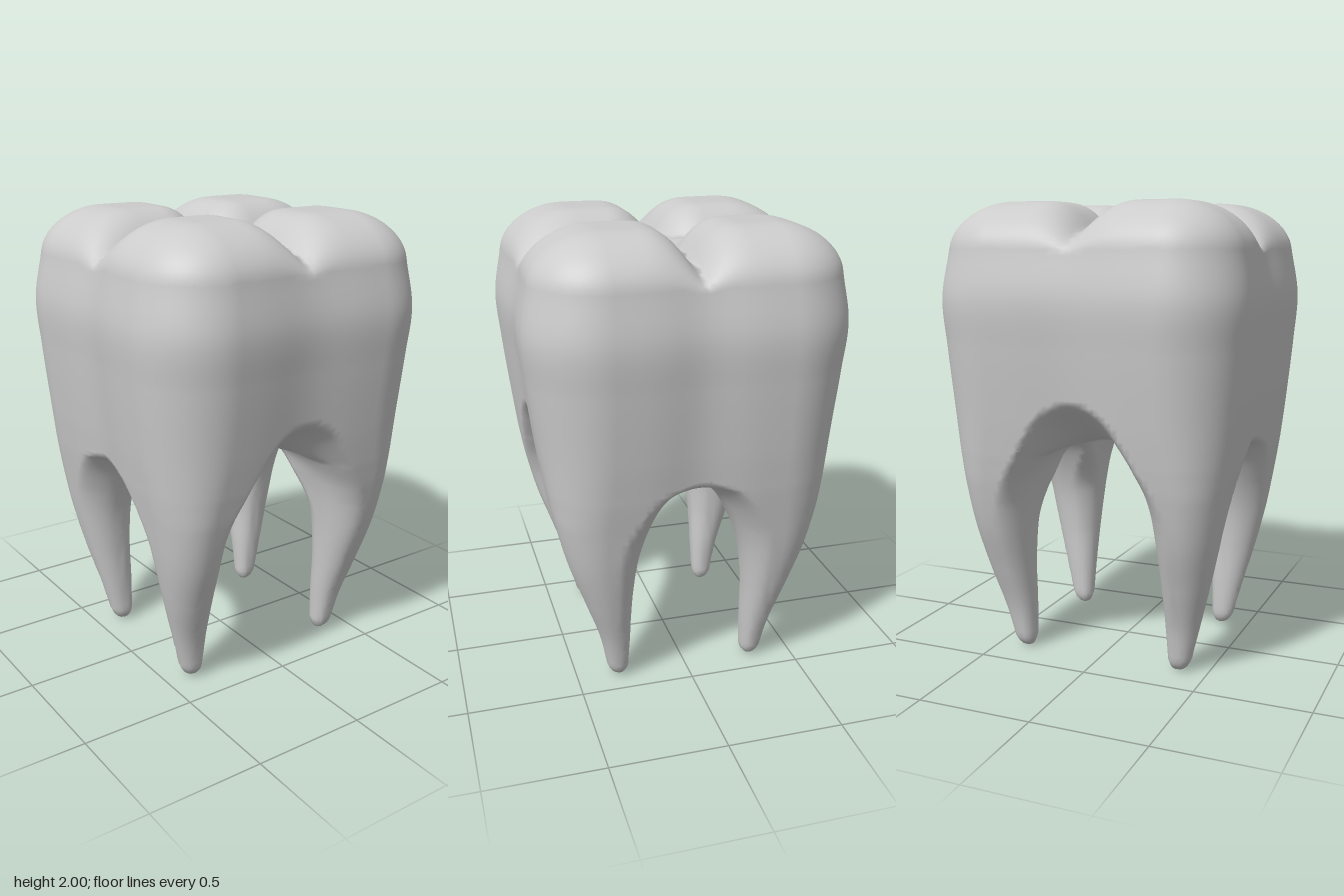
import * as THREE from 'three';

// One quarter of the tooth by height:
// [y, arch half-width in x at the centre, outer x, arch half-width in z, outer z,
//  rounding x, rounding z, arch half-width in x at the front and back]
// (a negative arch half-width lies in the solid above the arch)
const PROFILE = [
  [0, 0.326, 0.414, 0.268, 0.352, 0.044, 0.042, 0.326],
  [0.2, 0.318, 0.463, 0.262, 0.392, 0.072, 0.065, 0.318],
  [0.4, 0.312, 0.515, 0.256, 0.46, 0.1, 0.1, 0.312],
  [0.6, 0.298, 0.558, 0.232, 0.53, 0.13, 0.148, 0.298],
  [0.8, 0.268, 0.592, 0.16, 0.58, 0.165, 0.195, 0.265],
  [0.92, 0.23, 0.612, 0.03, 0.603, 0.205, 0.224, 0.212],
  [0.955, 0, 0.617, -0.12, 0.609, 0.216, 0.232, 0.195],
  [1.12, -0.32, 0.638, -0.33, 0.633, 0.262, 0.265, -0.07],
  [1.4, -0.6, 0.665, -0.7, 0.667, 0.298, 0.3, -0.32],
  [1.6, -0.8, 0.676, -0.85, 0.682, 0.3, 0.31, -0.45],
  [1.8, -1, 0.645, -1, 0.652, 0.28, 0.29, -0.6],
  [2, -1.2, 0.612, -1.2, 0.622, 0.25, 0.26, -0.8],
];
// Arch widths are squared, sign kept, so that the arch roofs come out round
const ARCH_COLUMNS = [1, 3, 7];
const ROWS = PROFILE.map((r) => r.map((v, c) => (ARCH_COLUMNS.includes(c) ? v * Math.abs(v) : v)));

const { lerp, smoothstep, clamp } = THREE.MathUtils;

// Smooth curve through one column of the profile
function column(c, height) {
  const y = clamp(height, 0, 2), last = ROWS.length - 1;
  let i = 0;
  while (i < last - 1 && ROWS[i + 1][0] < y) i++;
  const slope = (n) => {
    const a = ROWS[Math.max(n - 1, 0)], b = ROWS[Math.min(n + 1, last)];
    return (b[c] - a[c]) / (b[0] - a[0]);
  };
  const p = ROWS[i], q = ROWS[i + 1], h = q[0] - p[0], t = (y - p[0]) / h;
  const m = slope(i) * h, n = slope(i + 1) * h, d = q[c] - p[c];
  return p[c] + t * (m + t * (3 * d - 2 * m - n + t * (m + n - 2 * d)));
}

// Depth of the crossing grooves; the four cusps have rounded inner corners
function grooveDepth(x, z) {
  const u = Math.abs(x), v = Math.abs(z), reach = 0.21;
  const s = Math.max(reach - Math.hypot(Math.max(reach - u, 0), Math.max(reach - v, 0)), 0);
  const rise = (Math.hypot(s, 0.014) - 0.014) / reach;
  const depth = 0.118 + 0.018 * u / (u + v + 0.02);
  return depth * Math.max(1 - rise, 0) ** 2.7;
}

// Tooth shape as a rule: negative inside, positive outside
function toothField(x, y, z) {
  const rx = column(5, y), rz = column(6, y);

  // outer walls with a shallow dent down the middle of each face
  const dent = 0.024 * smoothstep(y, 0.5, 1);
  const wallX = Math.abs(x) - column(2, y) + dent * Math.exp(-((z / 0.15) ** 2));
  const wallZ = Math.abs(z) - column(4, y) + dent * Math.exp(-((x / 0.2) ** 2));

  // two crossing arches that part the four roots; the one along z rises to its ends
  const widthX = lerp(column(1, y), column(7, y), smoothstep(Math.abs(z), 0, 0.6));
  const archX = (widthX - x * x) / 0.56;
  const archZ = (column(3, y) - z * z) / 0.5;
  const rArch = lerp(Math.min(0.15, rx, rz), 0.055, smoothstep(y, 0.6, 1.05));
  const rCross = lerp(rArch, 0.03, smoothstep(y, 0.6, 0.93));
  const arches = Math.min(Math.max(archX, archZ) + rCross, 0) - rCross
    + Math.hypot(Math.max(archX + rCross, 0), Math.max(archZ + rCross, 0));

  // chewing surface, its rim rounded less where the grooves run out
  const groove = grooveDepth(x, z);
  const top = (y - 2 + groove) / (0.19 - 0.8 * groove);

  // all limits meet in rounded edges
  const limits = [wallX / rx, wallZ / rz, arches / rArch, top, -y / 0.06];
  return Math.hypot(...limits.map((d) => Math.max(d + 1, 0))) - 1;
}

function gradient(p) {
  const e = 0.003;
  return new THREE.Vector3(
    toothField(p.x + e, p.y, p.z) - toothField(p.x - e, p.y, p.z),
    toothField(p.x, p.y + e, p.z) - toothField(p.x, p.y - e, p.z),
    toothField(p.x, p.y, p.z + e) - toothField(p.x, p.y, p.z - e),
  ).divideScalar(2 * e);
}

// Skins the rule: one vertex in each grid cell the surface crosses, joined by quads
function skin(min, size, step) {
  const [nx, ny, nz] = size;
  const stride = [1, nx, nx * ny];
  const at = (i, j, k) => i + j * stride[1] + k * stride[2];
  const point = (i, j, k) => new THREE.Vector3(i, j, k).multiplyScalar(step).add(min);
  const values = new Float32Array(nx * ny * nz).fill(1);
  const forEachCell = (visit) => {
    for (let k = 0; k < nz - 1; k++)
      for (let j = 0; j < ny - 1; j++)
        for (let i = 0; i < nx - 1; i++) visit(i, j, k);
  };
  forEachCell((i, j, k) => {
    const p = point(i, j, k);
    values[at(i, j, k)] = toothField(p.x, p.y, p.z);
  });

  const positions = [], normals = [], index = [];
  const vertexOf = new Map();
  forEachCell((i, j, k) => {
    const corner = (c) => [i + (c & 1), j + ((c >> 1) & 1), k + (c >> 2)];
    const sum = new THREE.Vector3();
    let hits = 0;
    for (let c = 0; c < 8; c++) {
      for (const bit of [1, 2, 4]) {
        if (c & bit) continue;
        const a = values[at(...corner(c))], b = values[at(...corner(c | bit))];
        if (a < 0 === b < 0) continue;
        sum.add(point(...corner(c)).lerp(point(...corner(c | bit)), a / (a - b)));
        hits++;
      }
    }
    if (!hits) return;
    // settle the vertex onto the exact surface
    const p = sum.divideScalar(hits);
    for (let n = 0; n < 4; n++) {
      const g = gradient(p);
      const move = g.multiplyScalar(-toothField(p.x, p.y, p.z) / Math.max(g.lengthSq(), 1e-6));
      p.add(move.clampLength(0, step / 3));
    }
    vertexOf.set(at(i, j, k), positions.length / 3);
    positions.push(...p);
    normals.push(...gradient(p).normalize());
  });

  forEachCell((i, j, k) => {
    const here = at(i, j, k);
    for (let axis = 0; axis < 3; axis++) {
      const inside = values[here] < 0;
      if (inside === values[here + stride[axis]] < 0) continue;
      const b = stride[(axis + 1) % 3], c = stride[(axis + 2) % 3];
      const quad = [here - b - c, here - c, here, here - b].map((n) => vertexOf.get(n));
      if (!inside) quad.reverse();
      index.push(quad[0], quad[1], quad[2], quad[0], quad[2], quad[3]);
    }
  });

  const geometry = new THREE.BufferGeometry();
  geometry.setAttribute('position', new THREE.Float32BufferAttribute(positions, 3));
  geometry.setAttribute('normal', new THREE.Float32BufferAttribute(normals, 3));
  geometry.setIndex(index);
  return geometry;
}

export function createModel() {
  const group = new THREE.Group();
  group.name = 'molarTooth';
  const material = new THREE.MeshStandardMaterial({ color: 0xcccccc });
  const geometry = skin(new THREE.Vector3(-0.75, -0.06, -0.75), [61, 87, 61], 0.025);
  const tooth = new THREE.Mesh(geometry, material);
  tooth.name = 'crownAndRoots';
  group.add(tooth);
  return group;
}
